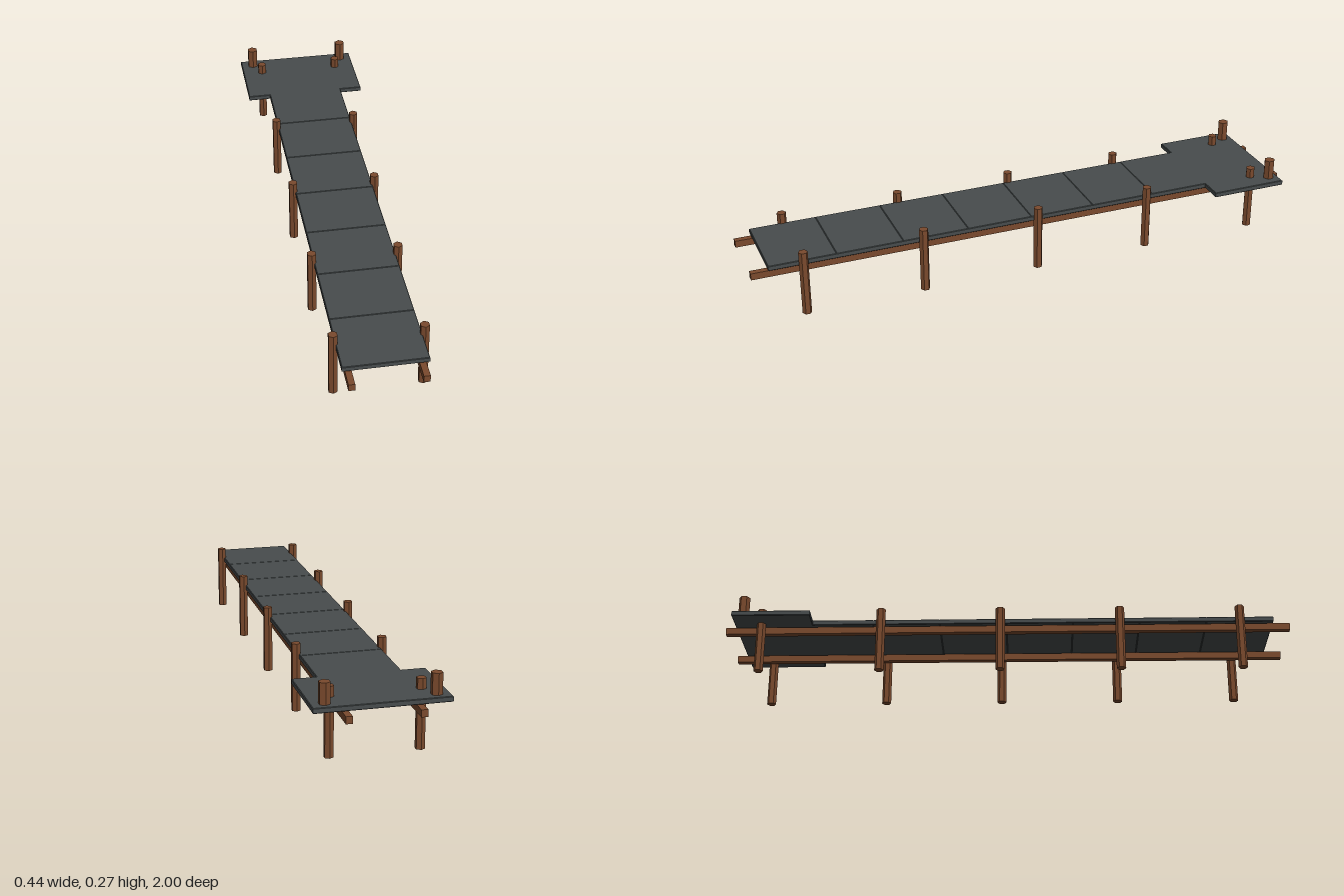
import * as THREE from 'three';

const wood = new THREE.MeshStandardMaterial({ color: 0x7a4a2d });
wood.name = 'brown wood';
const slate = new THREE.MeshStandardMaterial({ color: 0x474c4d });
slate.name = 'dark grey deck';

const DECK_TOP = 0.2;
const DECK_THICKNESS = 0.018;
const BEVEL = 0.002;

// Bevelled slab from an outline of [x, z] points
function slab(points) {
  const shape = new THREE.Shape(points.map(([x, z]) => new THREE.Vector2(x, z)));
  const geometry = new THREE.ExtrudeGeometry(shape, {
    depth: DECK_THICKNESS - 2 * BEVEL,
    bevelThickness: BEVEL,
    bevelSize: BEVEL,
    bevelOffset: -BEVEL,
    bevelSegments: 1,
  });
  geometry.rotateX(Math.PI / 2);
  geometry.translate(0, DECK_TOP - BEVEL, 0);
  return geometry;
}

// Six-sided upright between two heights, faceted
function upright(radius, bottom, top) {
  const geometry = new THREE.CylinderGeometry(radius, radius, top - bottom, 6).toNonIndexed();
  geometry.computeVertexNormals();
  geometry.translate(0, (bottom + top) / 2, 0);
  return geometry;
}

export function createModel() {
  const model = new THREE.Group();
  model.name = 'dock';

  const add = (name, geometry, material, x = 0, z = 0) => {
    const mesh = new THREE.Mesh(geometry, material);
    mesh.name = name;
    mesh.position.set(x, 0, z);
    model.add(mesh);
  };

  // Walkway panels, front to back
  const w = 0.14, first = -0.475, end = 0.942, count = 6;
  const step = (end - first) / count;
  const panel = slab([[-w, 0], [w, 0], [w, step], [-w, step]]);
  for (let i = 0; i < count; i++) add('walkwayPanel', panel, slate, 0, first + i * step);

  // T-shaped platform at the far end
  const p = 0.222, back = -0.966, neck = -0.69;
  add('endPlatform', slab([
    [-p, back], [p, back], [p, neck], [w, neck],
    [w, first], [-w, first], [-w, neck], [-p, neck],
  ]), slate);

  // Beams, posts and mooring bollards, mirrored
  const beam = new THREE.BoxGeometry(0.0215, 0.0245, 2).translate(0, 0.166, 0);
  const post = upright(0.0164, 0, 0.236);
  const bollard = upright(0.0195, 0.19, 0.2715);
  for (const side of [-1, 1]) {
    add('supportBeam', beam, wood, side * 0.1185);
    for (let i = 0; i < 5; i++) add('post', post, wood, side * 0.148, 0.823 - i * 0.4235);
    add('bollard', bollard, wood, side * 0.178, -0.931);
  }
  return model;
}
